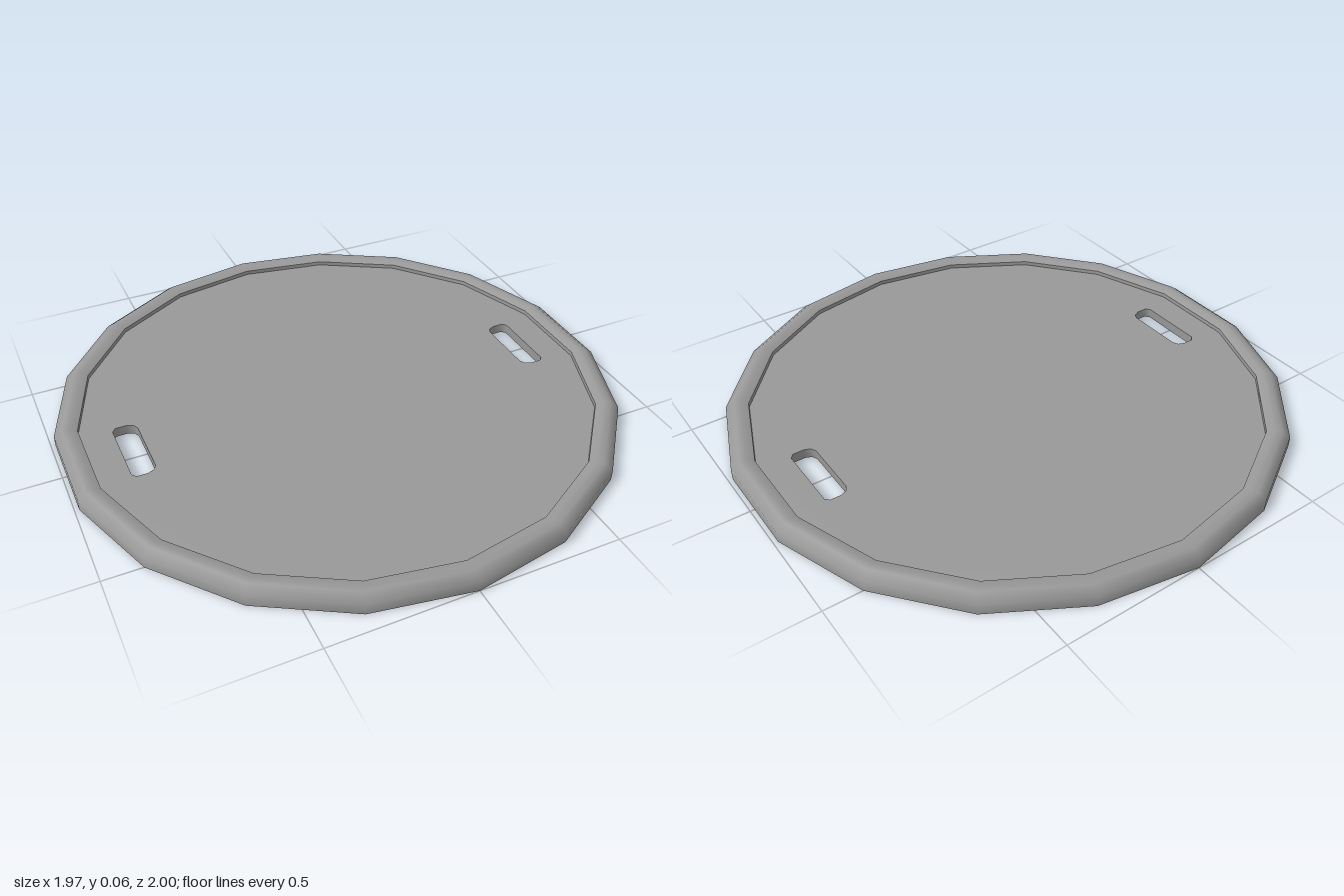
import * as THREE from 'three';
import { toCreasedNormals } from 'three/addons/utils/BufferGeometryUtils.js';

const SIDES = 18;
const FLOOR = 0.036;

// Slot opening with rounded corners, mirrored by side
function slot(side) {
  const end = [[0.71, 0.106], [0.72, 0.126], [0.742, 0.135], [0.782, 0.135], [0.795, 0.12]];
  const front = end.map(([x, z]) => new THREE.Vector2(side * x, z));
  const back = end.map(([x, z]) => new THREE.Vector2(side * x, -z)).reverse();
  return new THREE.Path([...front, ...back]);
}

export function createModel() {
  const model = new THREE.Group();
  model.name = 'roundTray';
  const material = new THREE.MeshStandardMaterial({ color: 0x999999 });

  // Flat base plate with two handle slots
  const outline = [];
  for (let i = 0; i < SIDES; i++) {
    const a = (i / SIDES) * Math.PI * 2 + Math.PI / 2;
    outline.push(new THREE.Vector2(0.93 * Math.cos(a), 0.93 * Math.sin(a)));
  }
  const shape = new THREE.Shape(outline);
  shape.holes.push(slot(1), slot(-1));
  const plateGeometry = new THREE.ExtrudeGeometry(shape, { depth: FLOOR, bevelEnabled: false });
  plateGeometry.rotateX(-Math.PI / 2);
  const plate = new THREE.Mesh(toCreasedNormals(plateGeometry, 1), material);
  plate.name = 'basePlate';
  model.add(plate);

  // Raised, rounded rim with a flat underside and a crisp inner wall
  const profile = [
    [0.93, 0], [1, 0], [1, 0.04], [0.97, 0.062], [0.945, 0.062], [0.919, 0.051], [0.918, FLOOR - 0.002],
  ].map(([r, y]) => new THREE.Vector2(r, y));
  const rim = new THREE.Mesh(toCreasedNormals(new THREE.LatheGeometry(profile, SIDES), 1), material);
  rim.name = 'rim';
  model.add(rim);

  return model;
}
